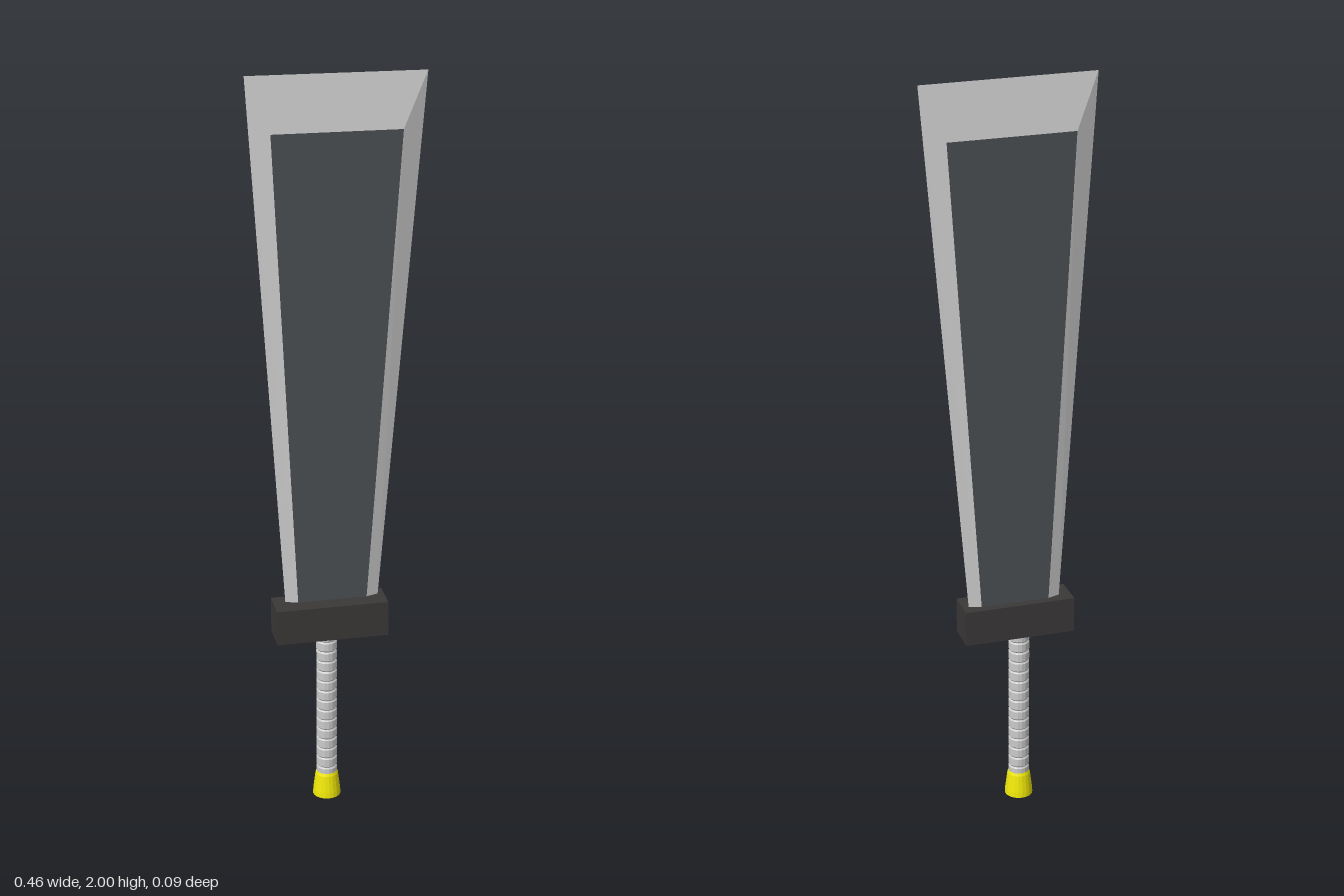
import * as THREE from 'three';

const mat = (color) => new THREE.MeshStandardMaterial({ color, flatShading: true });
const AXIS_X = -0.03, AXIS_Z = -0.008, EDGE_Z = -0.011;

// Flat-sided surface from quads whose corners run counter-clockwise seen from outside
function quadSurface(quads) {
  const pos = [];
  for (const [a, b, c, d] of quads) pos.push(...a, ...b, ...c, ...a, ...c, ...d);
  const g = new THREE.BufferGeometry();
  g.setAttribute('position', new THREE.Float32BufferAttribute(pos, 3));
  g.computeVertexNormals();
  return g;
}

function add(parent, name, geometry, material, x = 0, y = 0, z = 0) {
  const mesh = new THREE.Mesh(geometry, material);
  mesh.name = name;
  mesh.position.set(x, y, z);
  parent.add(mesh);
  return mesh;
}

export function createModel() {
  const model = new THREE.Group();
  model.name = 'broadSword';
  const steel = mat(0xcccccc), darkSteel = mat(0x4b5053);
  const guardMat = mat(0x3b3838), gold = mat(0xf2ea08);

  // Blade: sharp outer outline, raised flat panel on each side, bevels between
  const blade = new THREE.Group();
  blade.name = 'blade';
  model.add(blade);
  const outer = [[-0.138, 0.55], [0.107, 0.55], [0.228, 1.995], [-0.23, 2]]
    .map(([x, y]) => [x, y, EDGE_Z]);
  const panel = (side) => [[-0.106, 0.55, 0.011], [0.075, 0.55, 0.011], [0.163, 1.855, 0.021], [-0.17, 1.858, 0.021]]
    .map(([x, y, t]) => [x, y, EDGE_Z + side * t]);
  const bevels = [], panels = [];
  for (const side of [1, -1]) {
    const inner = panel(side);
    const face = (q) => (side > 0 ? q : q.slice().reverse());
    panels.push(face(inner));
    for (let i = 0; i < 4; i++) {
      const j = (i + 1) % 4;
      bevels.push(face([outer[i], outer[j], inner[j], inner[i]]));
    }
  }
  add(blade, 'bladeEdge', quadSurface(bevels), steel);
  add(blade, 'bladePanels', quadSurface(panels), darkSteel);

  // Guard block
  add(model, 'guard', new THREE.BoxGeometry(0.3, 0.097, 0.09), guardMat, -0.023, 0.54, 0.001);

  // Grip with wrapped ridges separated by narrow grooves
  const profile = [];
  const ridges = 15, bottom = 0.06, step = (0.5 - bottom) / ridges;
  for (let i = 0; i < ridges; i++) {
    const y = bottom + i * step;
    profile.push([0.025, y], [0.028, y + step * 0.12], [0.028, y + step * 0.85], [0.025, y + step * 0.97]);
  }
  const grip = new THREE.LatheGeometry(profile.map(([r, y]) => new THREE.Vector2(r, y)), 16);
  add(model, 'grip', grip, steel, AXIS_X, 0, AXIS_Z);

  // Tapered pommel with a chamfered upper rim
  const pommel = new THREE.LatheGeometry(
    [[0, 0], [0.038, 0], [0.037, 0.015], [0.031, 0.063], [0.028, 0.071], [0, 0.071]]
      .map(([r, y]) => new THREE.Vector2(r, y)), 20);
  add(model, 'pommel', pommel, gold, AXIS_X, 0, AXIS_Z);

  return model;
}
